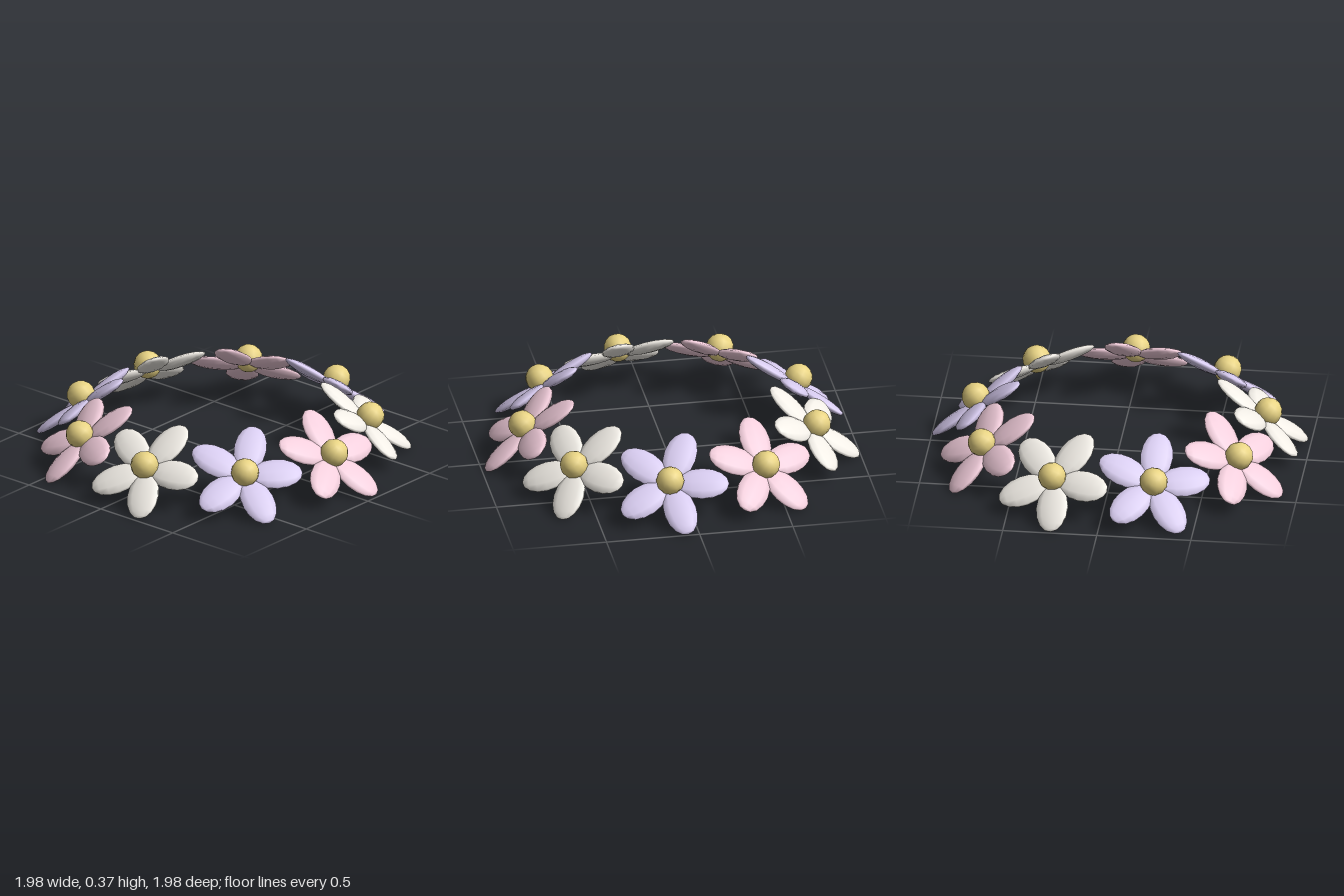
import * as THREE from 'three';

const FLOWERS = 9;
const PETALS = 5;
const RING_RADIUS = 0.765;
const TILT = 0.645; // outward lean of each blossom

export function createModel() {
  const garland = new THREE.Group();
  garland.name = 'flowerGarland';

  const material = (color) => new THREE.MeshStandardMaterial({ color });
  const petalMaterials = [0xf2cddb, 0xd8ccf0, 0xf1ede6].map(material);
  const centreMaterial = material(0xe8d383);

  // Flattened oval petal, poles at its base and tip, lying along +x
  const petalGeometry = new THREE.SphereGeometry(1, 10, 8);
  petalGeometry.rotateZ(-Math.PI / 2);
  petalGeometry.scale(0.142, 0.028, 0.09);
  petalGeometry.translate(0.17, 0, 0);

  const centreGeometry = new THREE.SphereGeometry(0.075, 12, 8);

  function createFlower(petalMaterial) {
    const flower = new THREE.Group();
    flower.name = 'flower';
    for (let k = 0; k < PETALS; k++) {
      const petal = new THREE.Mesh(petalGeometry, petalMaterial);
      petal.name = 'petal';
      petal.rotation.y = Math.PI / 2 - (k * 2 * Math.PI) / PETALS;
      flower.add(petal);
    }
    const centre = new THREE.Mesh(centreGeometry, centreMaterial);
    centre.name = 'flowerCentre';
    centre.position.y = 0.04;
    flower.add(centre);
    return flower;
  }

  // Blossoms around the ring, colours repeating in threes
  for (let i = 0; i < FLOWERS; i++) {
    const spoke = new THREE.Group();
    spoke.name = 'flowerSpoke';
    spoke.rotation.y = (-i * 2 * Math.PI) / FLOWERS;
    const flower = createFlower(petalMaterials[i % 3]);
    flower.position.x = RING_RADIUS;
    flower.rotation.z = -TILT;
    spoke.add(flower);
    garland.add(spoke);
  }
  garland.position.set(-0.02, 0.195, 0.005);

  const model = new THREE.Group();
  model.name = 'flowerCrown';
  model.add(garland);
  return model;
}
